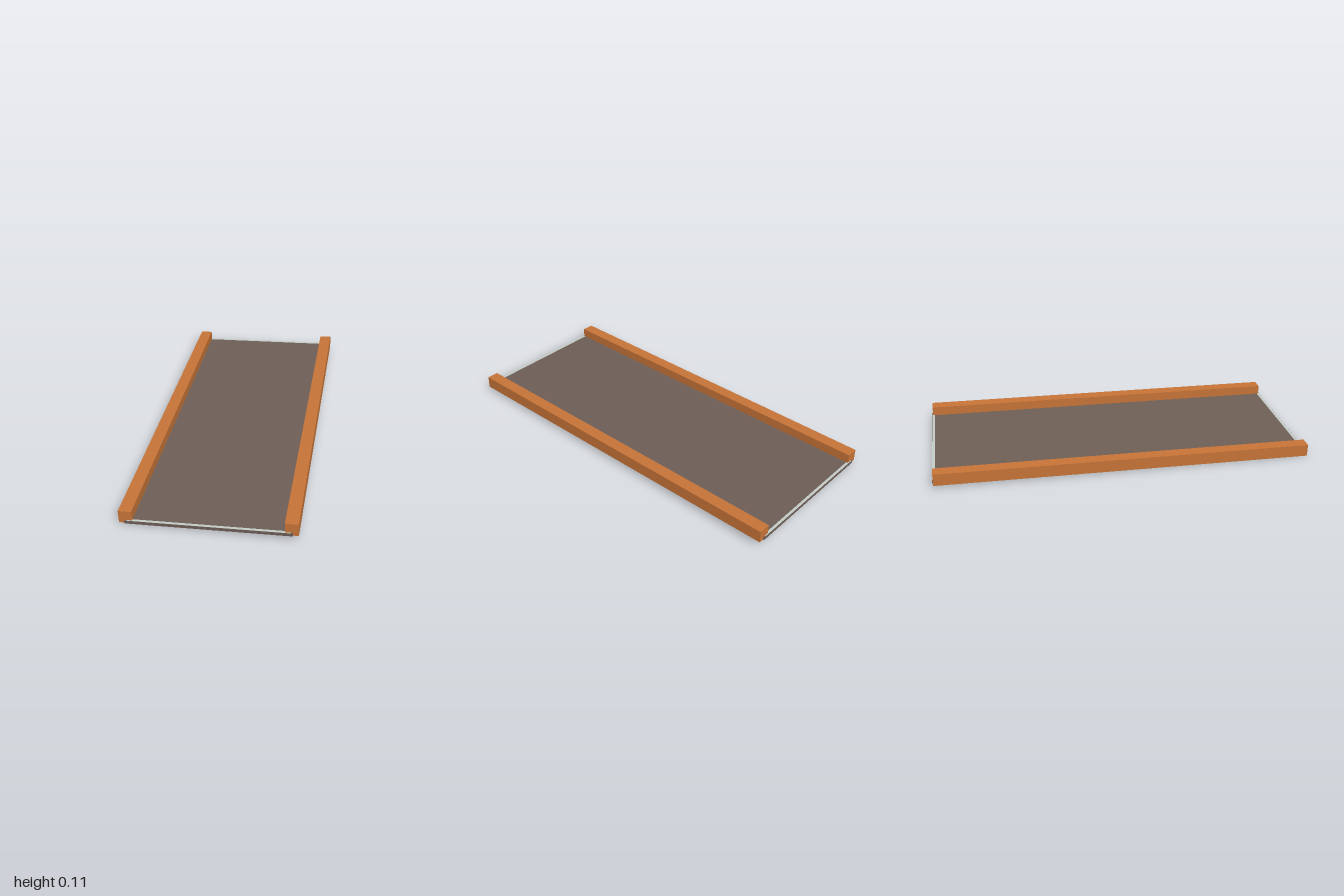
import * as THREE from 'three';

export function createModel() {
  const model = new THREE.Group();
  model.name = 'railedTray';

  const material = (name, color) => {
    const m = new THREE.MeshStandardMaterial({ color });
    m.name = name;
    return m;
  };
  const orange = material('orangeWood', 0xc87538);
  const brown = material('brownBoard', 0x6f5f57);
  const pale = material('paleEdge', 0xc6cec8);

  // Box whose position is given by its centre in x and z and its bottom in y
  const box = (name, mat, w, h, d, x, y, z) => {
    const mesh = new THREE.Mesh(new THREE.BoxGeometry(w, h, d), mat);
    mesh.name = name;
    mesh.position.set(x, y + h / 2, z);
    model.add(mesh);
  };

  // Flat board between the rails
  box('board', brown, 0.8, 0.016, 1.996, 0, 0, 0);

  // Thin pale strips along both short ends of the board
  for (const s of [1, -1]) {
    box(s > 0 ? 'frontEdgeStrip' : 'backEdgeStrip', pale, 0.78, 0.001, 0.014, 0, 0.0158, s * 0.99);
  }

  // Square rails along both long sides
  for (const s of [1, -1]) {
    box(s > 0 ? 'leftRail' : 'rightRail', orange, 0.065, 0.065, 1.985, s * 0.3955, 0.001, 0);
  }

  // The whole piece lies slightly tilted
  model.rotation.set(0.0075, 0.001, 0.031);
  model.position.y = 0.0203;

  const root = new THREE.Group();
  root.name = 'tiltedTray';
  root.add(model);
  return root;
}
